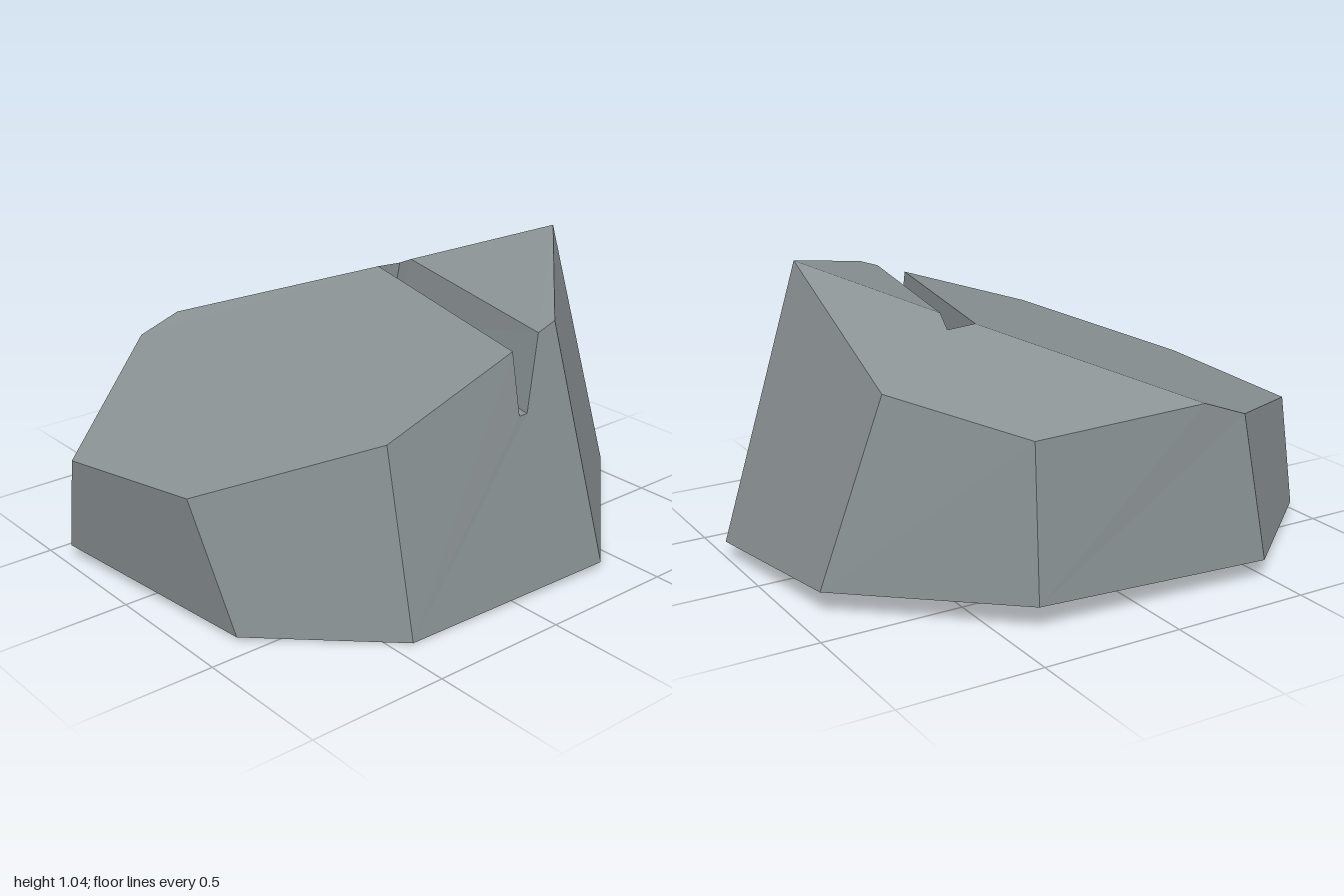
import * as THREE from 'three';

const V = (x, y, z) => new THREE.Vector3(x, y, z);

// Flat-shaded mesh from planar polygons, corners counter-clockwise from outside
function facetMesh(name, polygons, material) {
  const positions = [];
  for (const poly of polygons) {
    const normal = V(0, 0, 0);
    poly.forEach((p, i) => normal.add(V(0, 0, 0).crossVectors(p, poly[(i + 1) % poly.length])));
    normal.normalize();
    const u = poly[1].clone().sub(poly[0]);
    u.addScaledVector(normal, -u.dot(normal)).normalize();
    const v = V(0, 0, 0).crossVectors(normal, u);
    const flat = poly.map((p) => new THREE.Vector2(p.dot(u), p.dot(v)));
    for (const tri of THREE.ShapeUtils.triangulateShape(flat, [])) {
      for (const i of tri) positions.push(...poly[i].toArray());
    }
  }
  const geometry = new THREE.BufferGeometry();
  geometry.setAttribute('position', new THREE.Float32BufferAttribute(positions, 3));
  geometry.computeVertexNormals();
  const mesh = new THREE.Mesh(geometry, material);
  mesh.name = name;
  return mesh;
}

export function createModel() {
  const stone = new THREE.MeshStandardMaterial({ color: 0x8a9294 });
  stone.name = 'stone grey';

  // Base and top rings, from front left round by the +x side
  const base = [
    V(-0.43, 0, 0.79), V(0.395, 0.025, 0.835), V(1, 0.06, 0.285), V(0.92, 0.083, -0.325),
    V(0.39, 0.088, -0.795), V(-0.48, 0.07, -0.835), V(-0.965, 0.045, -0.41), V(-0.85, 0.012, 0.42),
  ];
  const top = [
    V(-0.46, 0.66, 0.69), V(0.26, 0.9, 0.69), V(0.725, 1.037, 0.23), V(0.735, 0.74, -0.43),
    V(0.385, 0.62, -0.757), V(-0.4, 0.589, -0.795), V(-1, 0.42, -0.295), V(-0.93, 0.475, 0.29),
  ];
  const ridgeEnd = V(-0.24, 0.648, -0.788);

  // Groove corners: rims, floor, and where the ridge crosses the +x rim
  const rimL = [V(0.07, 0.837, 0.69), V(0.285, 0.859, -0.225)];
  const rimR = [V(0.185, 0.875, 0.69), V(0.39, 0.852, -0.225)];
  const rimRidge = V(0.371, 0.889, -0.142);
  const floorL = [V(0.08, 0.62, 0.722), V(0.305, 0.62, -0.225)];
  const floorR = [V(0.115, 0.62, 0.722), V(0.338, 0.62, -0.225)];

  // Side walls; the front one is notched, the back one meets the ridge
  const walls = base.map((b, i) => {
    const j = (i + 1) % 8;
    const extra = i === 0 ? [rimR[0], floorR[0], floorL[0], rimL[0]] : i === 4 ? [ridgeEnd] : [];
    const upper = i === 4 ? [top[j], ...extra, top[i]] : [top[j], ...extra, top[i]];
    return [b, base[j], ...upper];
  });
  // The ridge point lies between both top corners of the back wall
  walls[4] = [base[4], base[5], top[5], ridgeEnd, top[4]];

  const group = new THREE.Group();
  group.name = 'rock';
  group.add(
    facetMesh('sideWalls', walls, stone),
    facetMesh('underside', [[...base].reverse()], stone),
    facetMesh('slopedTop', [
      [top[0], rimL[0], rimL[1], ridgeEnd, top[5], top[6], top[7]],
      [rimR[0], top[1], top[2], rimRidge],
      [top[2], top[3], top[4], ridgeEnd, rimL[1], rimR[1], rimRidge],
    ], stone),
    facetMesh('groove', [
      [floorL[0], floorR[0], floorR[1], floorL[1]],
      [floorL[0], floorL[1], rimL[1], rimL[0]],
      [floorR[1], floorR[0], rimR[0], rimRidge, rimR[1]],
      [floorL[1], floorR[1], rimR[1], rimL[1]],
    ], stone),
  );
  return group;
}
